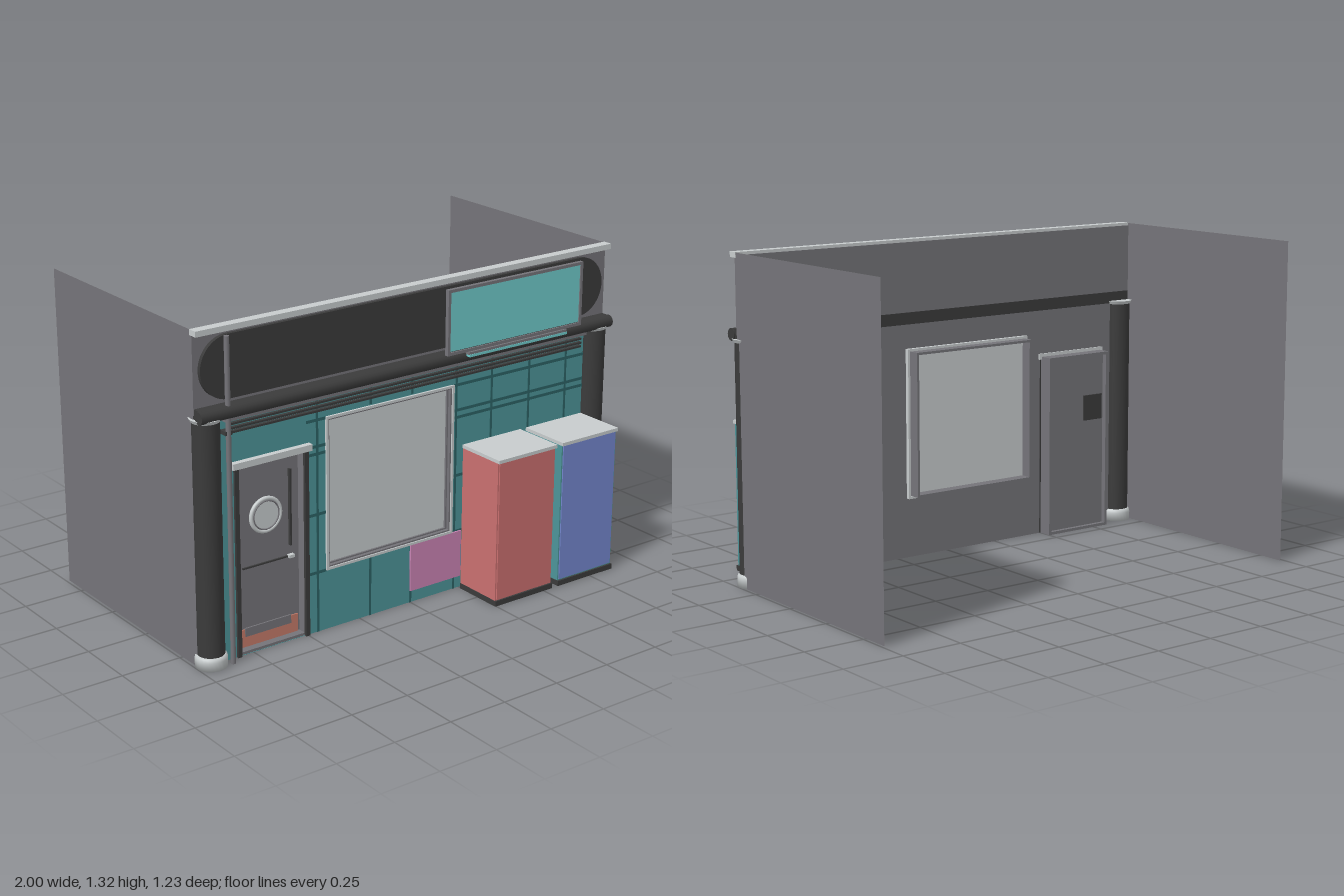
import * as THREE from 'three';

const mat = (name, color, side = THREE.FrontSide) => {
  const m = new THREE.MeshStandardMaterial({ color, side });
  m.name = name;
  return m;
};

export function createModel() {
  const root = new THREE.Group();
  root.name = 'shopFront';

  const grey = mat('wall grey', 0x757479, THREE.DoubleSide);
  const black = mat('soft black', 0x3b3b3b);
  const light = mat('pale grey', 0xc7cccd);
  const teal = mat('teal tile', 0x4d9599);
  const grout = mat('dark teal joint', 0x2c6265);
  const cyan = mat('sign cyan', 0x70cacb);
  const red = mat('machine red', 0xca7070);
  const blue = mat('machine blue', 0x7386cd);
  const pink = mat('poster pink', 0xca84b4);
  const coral = mat('kick plate coral', 0xc57b6a);

  const add = (name, geo, material, parent = root) => {
    const m = new THREE.Mesh(geo, material);
    m.name = name;
    parent.add(m);
    return m;
  };
  // box given by its minimum and maximum corners
  const box = (name, material, x0, x1, y0, y1, z0, z1, parent = root) => {
    const g = new THREE.BoxGeometry(x1 - x0, y1 - y0, z1 - z0);
    g.translate((x0 + x1) / 2, (y0 + y1) / 2, (z0 + z1) / 2);
    return add(name, g, material, parent);
  };
  // four bars around a rectangle
  const frame = (name, material, x0, x1, y0, y1, z0, z1, t, parent = root) => {
    const g = new THREE.Group();
    g.name = name;
    parent.add(g);
    box('frameLeft', material, x0, x0 + t, y0, y1, z0, z1, g);
    box('frameRight', material, x1 - t, x1, y0, y1, z0, z1, g);
    box('frameBottom', material, x0 + t, x1 - t, y0, y0 + t, z0, z1, g);
    box('frameTop', material, x0 + t, x1 - t, y1 - t, y1, z0, z1, g);
  };
  const rect = (P, x0, x1, y0, y1) =>
    new P().moveTo(x0, y0).lineTo(x1, y0).lineTo(x1, y1).lineTo(x0, y1).closePath();

  // front wall with door and window openings: grey behind, teal tiles in front
  const wall = rect(THREE.Shape, -0.985, 0.985, 0, 0.975);
  wall.holes.push(rect(THREE.Path, -0.82, -0.5, 0.001, 0.77));
  wall.holes.push(rect(THREE.Path, -0.41, 0.2, 0.255, 0.87));
  const slab = (name, material, z, depth) =>
    add(name, new THREE.ExtrudeGeometry(wall, { depth, bevelEnabled: false }), material).position.z = z;
  slab('backWall', grey, 0.362, 0.006);
  slab('tiledWall', teal, 0.368, 0.008);

  // tile joints, broken where the openings are
  const joint = (x0, x1, y0, y1) => box('tileJoint', grout, x0, x1, y0, y1, 0.375, 0.378);
  for (const y of [0.25, 0.49, 0.735, 0.765, 0.87]) {
    joint(-0.5, -0.41, y - 0.006, y + 0.006);
    joint(0.2, 0.89, y - 0.006, y + 0.006);
  }
  for (const x of [-0.45, 0.22, 0.4, 0.595, 0.79]) joint(x - 0.005, x + 0.005, 0, 0.97);
  for (const x of [-0.2, 0]) {
    joint(x - 0.005, x + 0.005, 0, 0.25);
    joint(x - 0.005, x + 0.005, 0.88, 0.97);
  }

  // side walls and columns
  for (const s of [-1, 1]) {
    const side = add('sideWall', new THREE.PlaneGeometry(0.985, 1.32), grey);
    side.rotation.y = s * Math.PI / 2;
    side.position.set(s * 0.987, 0.66, -0.1225);

    const col = new THREE.Group();
    col.name = 'column';
    col.position.set(s * 0.937, 0, 0.372);
    root.add(col);
    add('columnShaft', new THREE.CylinderGeometry(0.053, 0.053, 0.94, 24).translate(0, 0.51, 0), black, col);
    const base = [[0, 0], [0.062, 0], [0.063, 0.035], [0.06, 0.047], [0.052, 0.052], [0, 0.052]];
    add('columnBase', new THREE.LatheGeometry(base.map(p => new THREE.Vector2(...p)), 24), light, col);
    add('columnCap', new THREE.CylinderGeometry(0.063, 0.055, 0.014, 24).translate(0, 0.978, 0), light, col);
  }

  // upper fascia, coping and beam
  box('fascia', grey, -0.987, 0.987, 1.0, 1.31, 0.362, 0.374);
  box('coping', light, -0.99, 0.99, 1.3, 1.322, 0.365, 0.405);
  const beam = add('beam', new THREE.CylinderGeometry(0.025, 0.025, 1.98, 12), black);
  beam.rotation.z = Math.PI / 2;
  beam.position.set(0, 1.0, 0.41);
  box('beamBack', black, -0.985, 0.985, 0.975, 1.024, 0.359, 0.41);
  box('beamTrim', grey, -0.87, 0.88, 0.957, 0.976, 0.374, 0.4);
  [0.91, 0.925, 0.942].forEach(y =>
    box('shutterSlat', black, -0.85, 0.86, y - 0.004, y + 0.004, 0.378, 0.392));

  // long rounded name board
  const pill = new THREE.Shape();
  pill.absarc(0.838, 1.162, 0.122, -Math.PI / 2, Math.PI / 2, false);
  pill.absarc(-0.843, 1.162, 0.122, Math.PI / 2, Math.PI * 1.5, false);
  add('nameBoard', new THREE.ExtrudeGeometry(pill, { depth: 0.016, bevelEnabled: false, curveSegments: 20 }), black)
    .position.z = 0.374;

  // projecting sign with brackets and a strip lamp
  box('signBack', black, 0.12, 0.8, 1.03, 1.285, 0.43, 0.44);
  box('signFace', cyan, 0.13, 0.79, 1.04, 1.275, 0.44, 0.443);
  frame('signFrame', grey, 0.117, 0.803, 1.025, 1.288, 0.43, 0.447, 0.012);
  for (const x of [0.2, 0.72]) for (const y of [1.11, 1.21])
    box('signBracket', black, x - 0.01, x + 0.01, y - 0.006, y + 0.006, 0.388, 0.432);
  box('signLamp', grey, 0.22, 0.72, 1.012, 1.024, 0.42, 0.453);
  box('signLampGlow', cyan, 0.22, 0.72, 1.004, 1.014, 0.435, 0.455);

  // drain pipe
  add('drainPipe', new THREE.CylinderGeometry(0.01, 0.01, 1.285, 12).translate(-0.863, 0.6425, 0.408), grey);
  box('pipeStrap', black, -0.878, -0.848, 0.91, 0.925, 0.376, 0.412);

  // window
  const win = new THREE.Group();
  win.name = 'window';
  root.add(win);
  frame('windowReveal', grey, -0.4, 0.192, 0.262, 0.865, 0.3, 0.366, 0.01, win);
  box('windowGlass', light, -0.4, 0.19, 0.265, 0.86, 0.348, 0.358, win);
  frame('windowTrim', light, -0.412, 0.205, 0.25, 0.875, 0.345, 0.385, 0.01, win);
  frame('windowBead', grey, -0.402, 0.195, 0.26, 0.865, 0.358, 0.38, 0.006, win);

  // recessed door
  const door = new THREE.Group();
  door.name = 'door';
  root.add(door);
  box('doorLeaf', grey, -0.81, -0.51, 0.005, 0.762, 0.318, 0.338, door);
  frame('doorJamb', grey, -0.825, -0.5, 0, 0.775, 0.3, 0.374, 0.012, door);
  for (const x of [-0.825, -0.512]) box('doorPost', black, x, x + 0.018, 0, 0.765, 0.36, 0.386, door);
  box('doorLintel', light, -0.84, -0.487, 0.763, 0.788, 0.355, 0.4, door);
  box('kickPlate', coral, -0.807, -0.522, 0.012, 0.085, 0.338, 0.343, door);
  box('kickPanel', grey, -0.765, -0.555, 0.055, 0.09, 0.34, 0.346, door);
  box('doorRail', black, -0.77, -0.55, 0.332, 0.338, 0.338, 0.345, door);
  box('doorHandle', black, -0.558, -0.55, 0.38, 0.69, 0.338, 0.35, door);
  box('doorPull', light, -0.565, -0.54, 0.33, 0.342, 0.338, 0.355, door);
  box('doorBackPlate', black, -0.8, -0.7, 0.48, 0.59, 0.311, 0.318, door);
  add('portholeGlass', new THREE.CylinderGeometry(0.064, 0.064, 0.008, 32).rotateX(Math.PI / 2)
    .translate(-0.663, 0.53, 0.342), light, door);
  add('portholeRing', new THREE.TorusGeometry(0.066, 0.008, 10, 32).translate(-0.663, 0.53, 0.342), light, door);
  add('portholeBead', new THREE.TorusGeometry(0.057, 0.003, 8, 32).translate(-0.663, 0.53, 0.347), grey, door);

  // poster on the wall
  box('poster', pink, -0.005, 0.25, 0.052, 0.25, 0.378, 0.385);

  // two vending machines
  const machine = (x0, x1, body, face) => {
    const g = new THREE.Group();
    g.name = 'vendingMachine';
    root.add(g);
    box('machineBase', black, x0, x1, 0, 0.022, 0.39, 0.613, g);
    box('machineBody', body, x0 + 0.003, x1 - 0.003, 0.022, 0.606, 0.39, 0.605, g);
    box('machineFace', face, x0 + 0.009, x1 - 0.009, 0.028, 0.604, 0.605, 0.61, g);
    box('machineTop', light, x0, x1, 0.606, 0.62, 0.39, 0.615, g);
  };
  machine(0.245, 0.545, red, red);
  machine(0.575, 0.872, teal, blue);

  return root;
}
